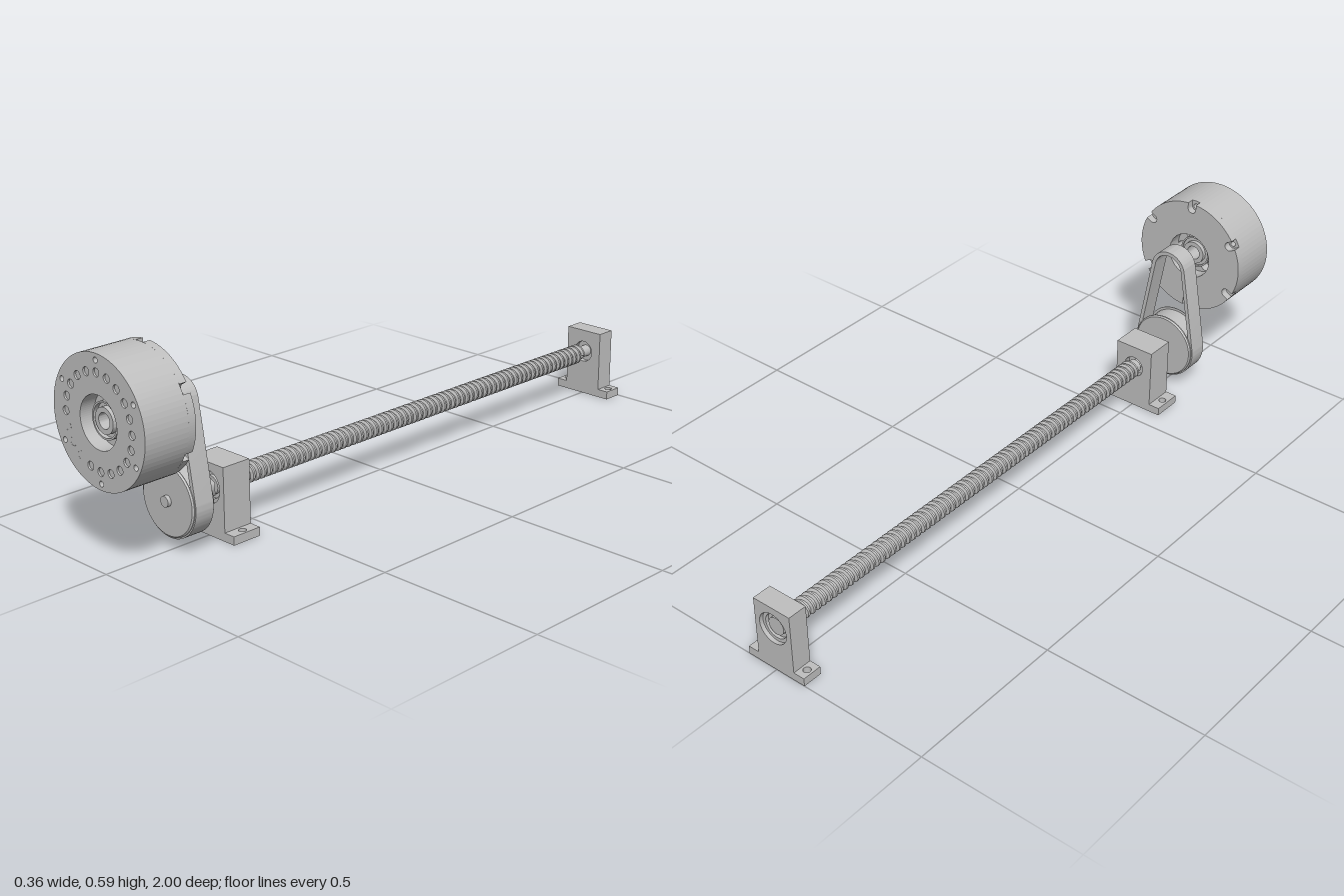
import * as THREE from 'three';
import { toCreasedNormals } from 'three/addons/utils/BufferGeometryUtils.js';

const TAU = Math.PI * 2;
const SCREW_Y = 0.14, MOTOR_Y = 0.41;

export function createModel() {
  const metal = new THREE.MeshStandardMaterial({ color: 0xbfbfbf });
  metal.name = 'grey metal';
  const model = new THREE.Group();
  model.name = 'beltDrivenLeadScrew';

  const add = (name, geometry, parent = model) => {
    const mesh = new THREE.Mesh(geometry, metal);
    mesh.name = name;
    parent.add(mesh);
    return mesh;
  };
  const group = (name, y = 0) => {
    const g = new THREE.Group();
    g.name = name;
    g.position.y = y;
    model.add(g);
    return g;
  };
  // Turned solid around the z axis; profile of [radius, z], rear to front on the outside
  const turned = (profile, sides = 40) => toCreasedNormals(
    new THREE.LatheGeometry(profile.map(p => new THREE.Vector2(...p)), sides).rotateX(Math.PI / 2), 0.5);
  const ring = (ro, ri, z0, z1, sides) =>
    turned([[ri, z0], [ro, z0], [ro, z1], [ri, z1], [ri, z0]], sides);
  const disc = (r, z0, z1, sides) => turned([[0, z0], [r, z0], [r, z1], [0, z1]], sides);
  // Flat shape given depth from z0 to z1
  const slab = (shape, z0, z1, curveSegments = 40) =>
    new THREE.ExtrudeGeometry(shape, { depth: z1 - z0, bevelEnabled: false, curveSegments }).translate(0, 0, z0);
  const circle = (r, x = 0, y = 0) => new THREE.Shape().absarc(x, y, r, 0, TAU, false);
  const around = (n, radius, start) => Array.from({ length: n }, (_, i) => {
    const a = start + i * TAU / n;
    return { a, x: radius * Math.cos(a), y: radius * Math.sin(a) };
  });

  // ---- Motor housing ----
  const motor = group('motor', MOTOR_Y);
  const R = 0.181, bore = 0.073;
  const bolts = around(6, 0.163, Math.PI / 2);
  const pins = around(20, 0.131, Math.PI / 2);
  const boltHoles = bolts.map(b => circle(0.008, b.x, b.y));

  const face = circle(R);
  face.holes.push(circle(bore), ...boltHoles, ...pins.map(p => circle(0.0118, p.x, p.y)));
  add('motorFrontPlate', slab(face, 0.985, 1), motor);

  const body = circle(R);
  body.holes.push(circle(bore), ...boltHoles);
  add('motorBody', slab(body, 0.862, 0.985), motor);

  // Rear rim with bolt slots open to the outside
  const rear = new THREE.Shape();
  const w = 0.014, delta = Math.asin(w / R);
  bolts.forEach(({ a, x, y }, i) => {
    const rim = [R * Math.cos(a - delta), R * Math.sin(a - delta)];
    if (i === 0) rear.moveTo(...rim);
    rear.absarc(x, y, w, a - Math.PI / 2, a - Math.PI * 1.5, true);
    rear.absarc(0, 0, R, a + delta, a + TAU / 6 - delta, false);
  });
  rear.holes.push(circle(bore));
  add('motorRearRim', slab(rear, 0.839, 0.862, 12), motor);

  // Pins sunk in the face; three of them sit flush
  pins.forEach((p, i) => {
    const flush = i >= 6 && i <= 8;
    add('facePin', disc(0.0116, 0.984, flush ? 1 : 0.995, 20).translate(p.x, p.y, 0), motor);
  });

  // Carrier with six windows and a bored hub
  const carrier = circle(bore);
  carrier.holes.push(circle(0.022), ...around(6, 0.058, -0.06).map(p => circle(0.014, p.x, p.y)));
  add('carrier', slab(carrier, 0.885, 0.955), motor);
  add('bearingOuterRing', ring(0.051, 0.046, 0.87, 0.98), motor);
  add('bearingWeb', ring(0.047, 0.034, 0.875, 0.967), motor);
  add('hub', ring(0.036, 0.022, 0.862, 0.982, 24), motor);

  // ---- Belt and pulley ----
  const big = 0.106, small = 0.06, span = MOTOR_Y - SCREW_Y;
  const tilt = Math.asin((big - small) / span);
  const loop = (inset, Kind) => {
    const s = new Kind();
    s.absarc(0, 0, big - inset, Math.PI - tilt, TAU + tilt, false);
    s.absarc(0, span, small - inset, tilt, Math.PI - tilt, false);
    s.closePath();
    return s;
  };
  const belt = loop(0, THREE.Shape);
  belt.holes.push(loop(0.012, THREE.Path));
  const drive = group('beltDrive', SCREW_Y);
  add('belt', toCreasedNormals(slab(belt, 0.726, 0.786, 32), 0.5), drive);
  add('pulley', turned([
    [0, 0.718], [0.098, 0.718], [0.102, 0.722], [0.102, 0.726], [0.094, 0.726],
    [0.094, 0.786], [0.102, 0.786], [0.102, 0.788], [0.098, 0.792], [0, 0.792],
  ], 48), drive);

  // ---- Lead screw ----
  const screw = group('leadScrew', SCREW_Y);
  add('frontShaft', disc(0.0155, 0.55, 0.803, 24), screw);
  add('shaftCollar', disc(0.019, 0.69, 0.72, 24), screw);
  add('hexNut', new THREE.CylinderGeometry(0.035, 0.035, 0.032, 6).toNonIndexed()
    .rotateX(Math.PI / 2).translate(0, 0, 0.671), screw);
  add('nutChamfer', new THREE.CylinderGeometry(0.025, 0.035, 0.012, 6).toNonIndexed()
    .rotateX(Math.PI / 2).translate(0, 0, 0.693), screw);
  add('rearShaft', disc(0.018, -0.988, -0.9, 24), screw);
  add('screwCore', disc(0.022, -0.916, 0.57, 24), screw);

  // Helical thread swept from one tooth profile
  const zStart = -0.915, zEnd = 0.57, turns = 72, steps = 20;
  const pitch = (zEnd - zStart) / turns;
  const tooth = [[0, 0.0225], [0.2, 0.03], [0.5, 0.03], [0.7, 0.0225], [1, 0.0225]];
  const pos = [], index = [];
  for (let j = 0; j <= (turns - 1) * steps; j++) {
    const a = j / steps * TAU;
    for (const [t, r] of tooth) {
      pos.push(r * Math.cos(a), r * Math.sin(a), zStart + (j / steps + t) * pitch);
    }
    if (j === 0) continue;
    for (let k = 0; k < tooth.length - 1; k++) {
      const q = j * tooth.length + k, p = q - tooth.length;
      index.push(p, q, q + 1, p, q + 1, p + 1);
    }
  }
  const thread = new THREE.BufferGeometry();
  thread.setAttribute('position', new THREE.Float32BufferAttribute(pos, 3));
  thread.setIndex(index);
  add('thread', toCreasedNormals(thread, 0.5), screw);

  // ---- Bearing blocks; the bearing seat opens on the outer side ----
  const block = (name, z0, z1, outward) => {
    const g = group(name);
    const plate = hole => {
      const s = new THREE.Shape();
      s.moveTo(-0.064, 0).lineTo(0.064, 0).lineTo(0.064, 0.21).lineTo(-0.064, 0.21).closePath();
      s.holes.push(circle(hole, 0, SCREW_Y));
      return s;
    };
    const depth = z1 - z0, seat = 0.75 * depth;
    const split = outward > 0 ? z1 - seat : z0 + seat;
    add('blockRearHalf', slab(plate(outward > 0 ? 0.033 : 0.048), z0, split), g);
    add('blockFrontHalf', slab(plate(outward > 0 ? 0.048 : 0.033), split, z1), g);

    // Bearing set inside the seat
    const outer = outward > 0 ? z1 : z0;
    const part = (label, ro, ri, sink) => {
      const e = outer - outward * sink;
      add(label, ring(ro, ri, Math.min(e, split), Math.max(e, split), 32).translate(0, SCREW_Y, 0), g);
    };
    part('bearingOuterRace', 0.048, 0.038, 0.012);
    part('bearingCage', 0.039, 0.026, 0.022);
    part('bearingInnerRace', 0.027, 0.015, 0.012);

    // Drilled feet
    for (const side of [-1, 1]) {
      const foot = new THREE.Shape();
      const x0 = side * 0.082, h = depth / 2;
      foot.moveTo(x0 - 0.018, -h).lineTo(x0 + 0.018, -h).lineTo(x0 + 0.018, h).lineTo(x0 - 0.018, h).closePath();
      foot.holes.push(circle(0.011, x0, 0));
      add('foot', slab(foot, 0, 0.025, 20).rotateX(-Math.PI / 2).translate(0, 0, (z0 + z1) / 2), g);
    }
  };
  block('frontBearingBlock', 0.563, 0.655, 1);
  block('rearBearingBlock', -1, -0.94, -1);

  return model;
}
